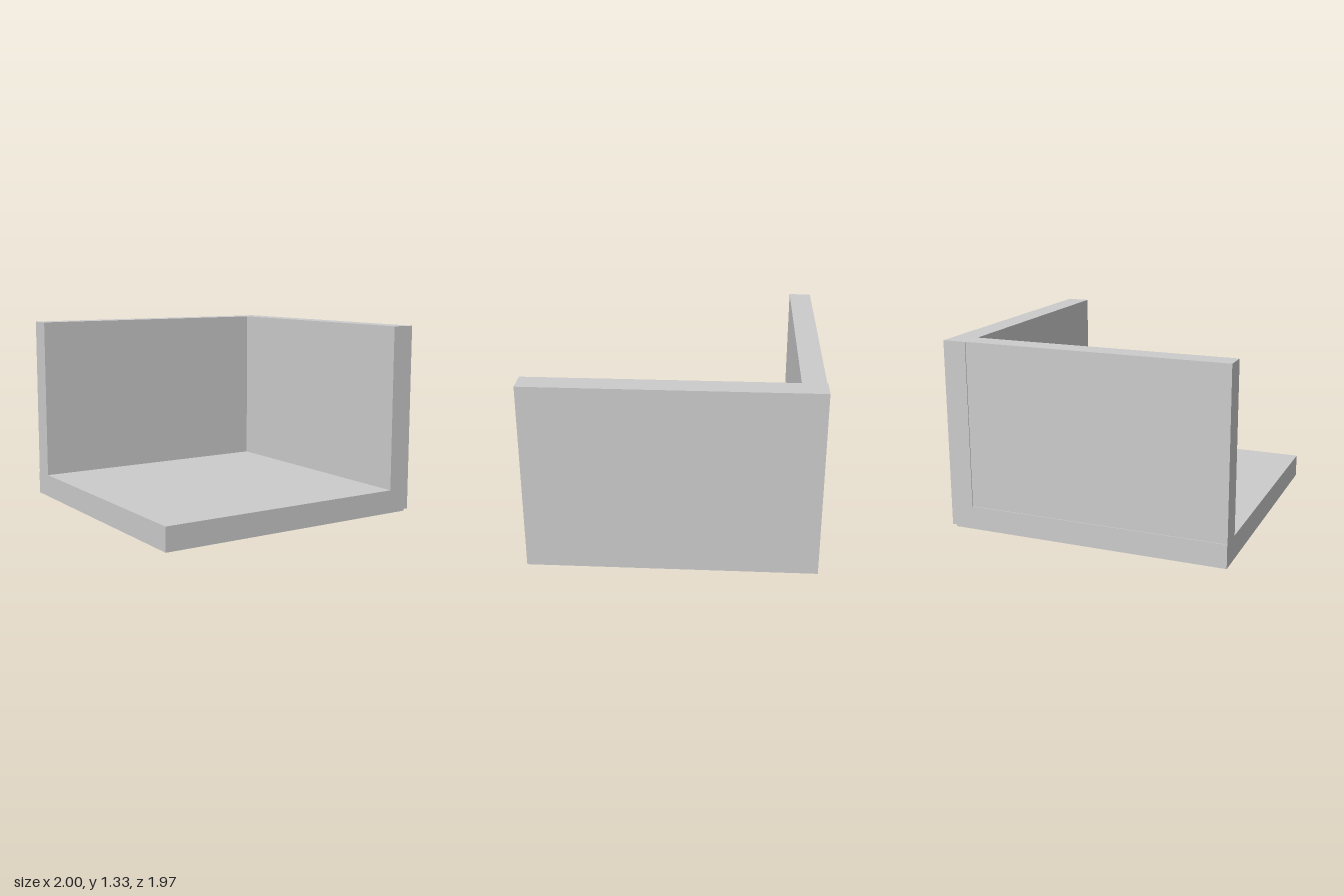
import * as THREE from 'three';

export function createModel() {
  const model = new THREE.Group();
  const material = new THREE.MeshStandardMaterial({ color: 0xcccccc, flatShading: true });

  // Adds a box spanning two opposite corners
  function slab(name, [x0, y0, z0], [x1, y1, z1]) {
    const mesh = new THREE.Mesh(new THREE.BoxGeometry(x1 - x0, y1 - y0, z1 - z0), material);
    mesh.position.set((x0 + x1) / 2, (y0 + y1) / 2, (z0 + z1) / 2);
    mesh.name = name;
    model.add(mesh);
  }

  // Floor slab, stopping just short of the side wall's outer face
  slab('floor', [-1, 0, -0.983], [0.967, 0.165, 0.983]);
  // Full-depth side wall, raised slightly off the ground
  slab('sideWall', [0.835, 0.013, -0.983], [1, 1.325, 0.983]);
  // Back wall standing on the floor, slightly recessed from the rear edge
  slab('backWall', [-1, 0.165, -0.977], [0.835, 1.325, -0.817]);

  return model;
}
